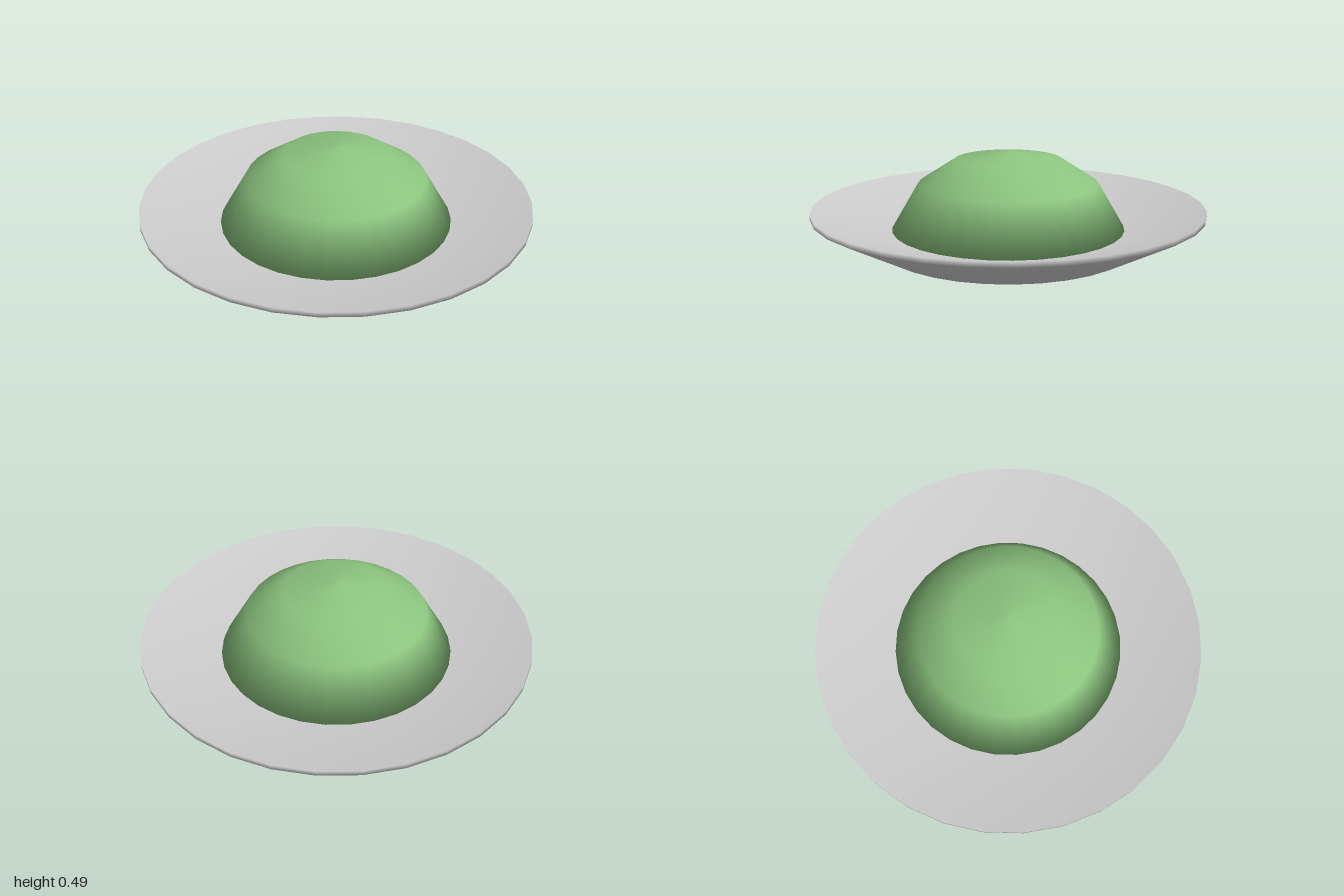
import * as THREE from 'three';

const SEGMENTS = 32;

// Revolve a [radius, height] profile, listed from bottom centre to top centre
function revolve(name, profile, material) {
  const points = profile.map(([r, y]) => new THREE.Vector2(r, y));
  const mesh = new THREE.Mesh(new THREE.LatheGeometry(points, SEGMENTS), material);
  mesh.name = name;
  return mesh;
}

export function createModel() {
  const grey = new THREE.MeshStandardMaterial({ color: 0xcccccc });
  grey.name = 'light grey';
  const green = new THREE.MeshStandardMaterial({ color: 0x8cc47f });
  green.name = 'soft green';

  const model = new THREE.Group();
  model.name = 'dishWithDome';

  // Shallow dish: flat foot, flared side, thin rim, sloping inside
  model.add(revolve('dish', [
    [0, 0], [0.65, 0], [1, 0.19], [1, 0.215], [0.6, 0.095], [0, 0.095],
  ], grey));

  // Rounded dome resting in the dish
  model.add(revolve('dome', [
    [0, 0.092], [0.6, 0.092], [0.46, 0.33], [0.27, 0.452], [0, 0.49],
  ], green));

  return model;
}
